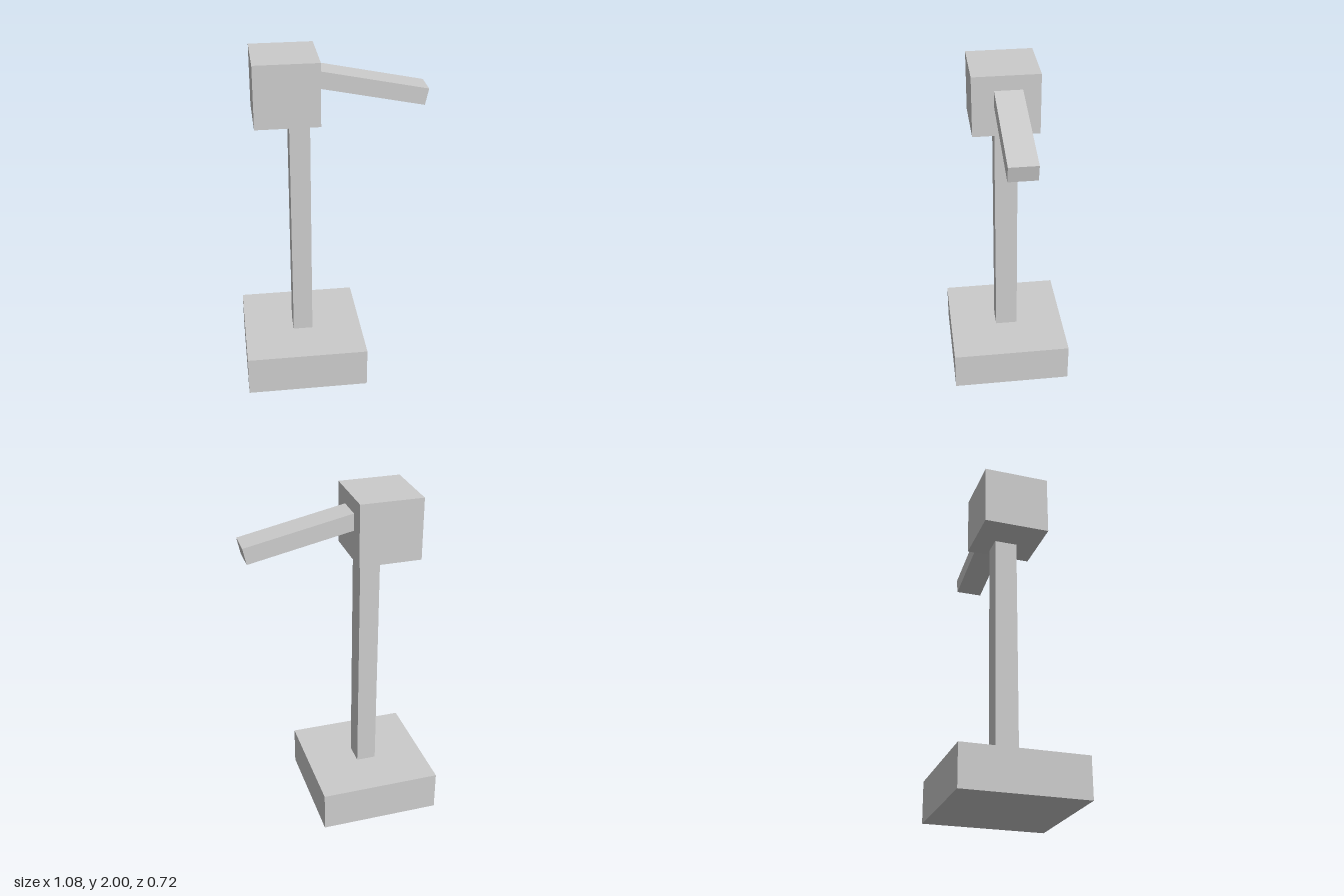
import * as THREE from 'three';

export function createModel() {
  const model = new THREE.Group();
  const material = new THREE.MeshStandardMaterial({ color: 0xcccccc, flatShading: true });

  // Adds a named box from its size and centre
  function addBox(name, size, centre) {
    const mesh = new THREE.Mesh(new THREE.BoxGeometry(...size), material);
    mesh.name = name;
    mesh.position.set(...centre);
    model.add(mesh);
    return mesh;
  }

  // Square foot, slim post and cubic head, stacked
  addBox('base', [0.718, 0.24, 0.718], [-0.183, 0.12, 0]);
  addBox('post', [0.117, 1.4, 0.134], [-0.183, 0.94, 0]);
  addBox('head', [0.363, 0.36, 0.387], [-0.259, 1.82, 0.003]);

  // Arm sloping down from the side of the head, its root sunk into the head
  const arm = addBox('arm', [0.68, 0.097, 0.16], [0.197, 1.807, -0.009]);
  arm.rotation.z = -0.204;

  return model;
}
